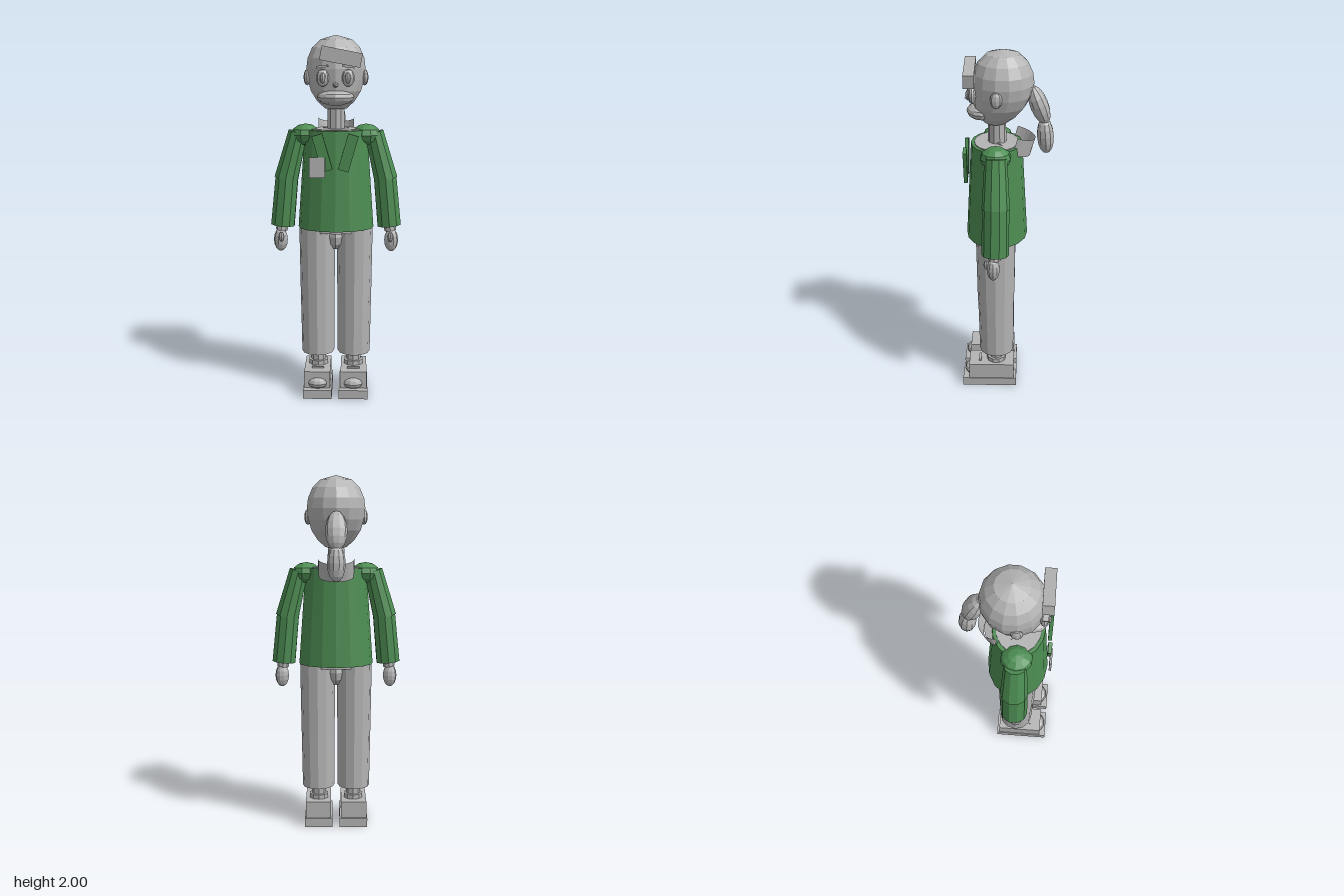
import * as THREE from 'three';

export function createModel() {
  const root = new THREE.Group();
  const grey = new THREE.MeshStandardMaterial({ color: 0xb4b4b4 });
  const green = new THREE.MeshStandardMaterial({ color: 0x4c8c52 });
  grey.name = 'plain grey';
  green.name = 'jacket green';
  grey.flatShading = green.flatShading = true;

  const add = (name, geo, mat, [x, y, z], parent = root) => {
    const m = new THREE.Mesh(geo, mat);
    m.name = name;
    m.position.set(x, y, z);
    parent.add(m);
    return m;
  };
  const box = (name, mat, size, pos, parent) =>
    add(name, new THREE.BoxGeometry(...size), mat, pos, parent);
  const ball = (name, mat, r, pos, parent, w = 12, h = 8) =>
    add(name, new THREE.SphereGeometry(1, w, h).scale(...r), mat, pos, parent);
  // Tapered tube running from a (top) to b (bottom)
  const limb = (name, mat, a, b, ra, rb, sides, parent, depth = 1) => {
    const va = new THREE.Vector3(...a), vb = new THREE.Vector3(...b);
    const d = va.clone().sub(vb);
    const geo = new THREE.CylinderGeometry(ra, rb, d.length(), sides).scale(1, 1, depth);
    const m = add(name, geo, mat, va.add(vb).multiplyScalar(0.5).toArray(), parent);
    m.quaternion.setFromUnitVectors(new THREE.Vector3(0, 1, 0), d.normalize());
    return m;
  };

  // Head: round crown narrowing to the chin, jaw eased forward
  const profile = [[0, 1.6], [0.06, 1.605], [0.105, 1.645], [0.14, 1.7], [0.158, 1.76],
    [0.165, 1.82], [0.158, 1.875], [0.133, 1.932], [0.088, 1.975], [0, 2]];
  const headGeo = new THREE.LatheGeometry(profile.map(p => new THREE.Vector2(...p)), 14);
  const hp = headGeo.attributes.position;
  for (let i = 0; i < hp.count; i++) {
    hp.setZ(i, hp.getZ(i) + Math.max(0, 1.78 - hp.getY(i)) * 0.22);
  }
  add('head', headGeo, grey, [0, 0, 0.02]);
  ball('muzzle', grey, [0.1, 0.045, 0.085], [0, 1.668, 0.13]);
  const nose = add('nose', new THREE.ConeGeometry(0.015, 0.04, 6), grey, [0, 1.735, 0.208]);
  nose.rotation.x = Math.PI / 2;
  const fringe = box('fringe', grey, [0.22, 0.075, 0.058], [0.03, 1.883, 0.193]);
  fringe.rotation.z = -0.19;
  add('neck', new THREE.CylinderGeometry(0.048, 0.05, 0.16, 10), grey, [0, 1.55, 0.052]);

  // Ponytail in two bunches
  ball('upperPonytail', grey, [0.06, 0.112, 0.05], [0, 1.7, -0.172], root, 10).rotation.x = 0.38;
  ball('lowerPonytail', grey, [0.05, 0.1, 0.047], [0, 1.528, -0.208], root, 10).rotation.x = 0.08;

  // Collar band leaning back behind the neck
  const band = new THREE.MeshStandardMaterial({ color: 0xb4b4b4, side: THREE.DoubleSide });
  band.name = 'collar grey';
  band.flatShading = true;
  const collar = add('collar', new THREE.CylinderGeometry(0.1, 0.1, 0.1, 12, 1, true,
    Math.PI / 2, Math.PI), band, [0, 1.498, -0.045]);
  collar.rotation.x = -0.28;
  add('collarBase', new THREE.CylinderGeometry(0.098, 0.098, 0.02, 12), grey,
    [0, 1.472, -0.03]).rotation.x = -0.28;

  // Jacket body with a grey core showing at both ends
  add('jacketBody', new THREE.CylinderGeometry(0.172, 0.21, 0.545, 16).scale(1, 1, 0.81),
    green, [0, 1.218, 0.055]);
  add('neckOpening', new THREE.CylinderGeometry(0.15, 0.15, 0.02, 16).scale(1, 1, 0.81),
    grey, [0, 1.486, 0.055]);
  add('waist', new THREE.CylinderGeometry(0.19, 0.19, 0.04, 16).scale(1, 1, 0.62),
    grey, [0, 0.945, 0.06]);
  ball('crotch', grey, [0.055, 0.085, 0.1], [0, 0.9, 0.06], root, 8, 6);
  box('chestPatch', grey, [0.085, 0.11, 0.012], [-0.098, 1.3, 0.233]);

  // Paired parts, built for each side
  for (const s of [1, -1]) {
    const side = new THREE.Group();
    side.name = s > 0 ? 'leftSide' : 'rightSide';
    root.add(side);

    // Face
    ball('ear', grey, [0.02, 0.044, 0.032], [s * 0.157, 1.773, 0.052], side, 8, 6);
    ball('eye', grey, [0.034, 0.046, 0.022], [s * 0.068, 1.772, 0.18], side, 10, 8);
    ball('pupil', grey, [0.016, 0.028, 0.012], [s * 0.066, 1.772, 0.203], side, 8, 6);
    box('brow', grey, [0.065, 0.012, 0.03], [s * 0.07, 1.832, 0.185], side).rotation.z = -s * 0.12;

    // Lapel, shoulder and sleeve
    box('lapel', green, [0.058, 0.2, 0.02], [s * 0.07, 1.378, 0.222], side).rotation.z = -s * 0.28;
    ball('shoulder', green, [0.08, 0.06, 0.085], [s * 0.167, 1.462, 0.055], side, 10, 6);
    limb('upperSleeve', green, [s * 0.21, 1.475, 0.052], [s * 0.277, 1.215, 0.052],
      0.054, 0.068, 10, side, 1.1);
    limb('lowerSleeve', green, [s * 0.272, 1.235, 0.052], [s * 0.298, 0.955, 0.055],
      0.065, 0.068, 10, side, 1.1);

    // Hand
    limb('wrist', grey, [s * 0.298, 0.98, 0.058], [s * 0.305, 0.925, 0.06], 0.033, 0.033, 8, side);
    ball('hand', grey, [0.039, 0.066, 0.036], [s * 0.31, 0.872, 0.066], side, 10, 8);
    ball('thumb', grey, [0.016, 0.028, 0.016], [s * 0.303, 0.895, 0.103], side, 8, 6);

    // Trouser leg
    limb('upperLeg', grey, [s * 0.105, 0.955, 0.06], [s * 0.104, 0.545, 0.06],
      0.101, 0.096, 12, side, 1.09);
    limb('lowerLeg', grey, [s * 0.104, 0.56, 0.06], [s * 0.102, 0.22, 0.058],
      0.096, 0.092, 12, side, 1.07);

    // Ankle and shoe
    limb('ankle', grey, [s * 0.1, 0.23, 0.06], [s * 0.1, 0.13, 0.06], 0.042, 0.042, 8, side);
    limb('shoeCuff', grey, [s * 0.1, 0.17, 0.06], [s * 0.1, 0.14, 0.06], 0.056, 0.056, 10, side);
    box('shoe', grey, [0.146, 0.1, 0.263], [s * 0.102, 0.095, 0.087], side);
    box('sole', grey, [0.16, 0.05, 0.315], [s * 0.1, 0.025, 0.098], side);
    ball('toeCap', grey, [0.06, 0.036, 0.05], [s * 0.1, 0.078, 0.198], side, 10, 6);
    box('lace', grey, [0.07, 0.012, 0.014], [s * 0.1, 0.148, 0.155], side);
  }
  return root;
}
